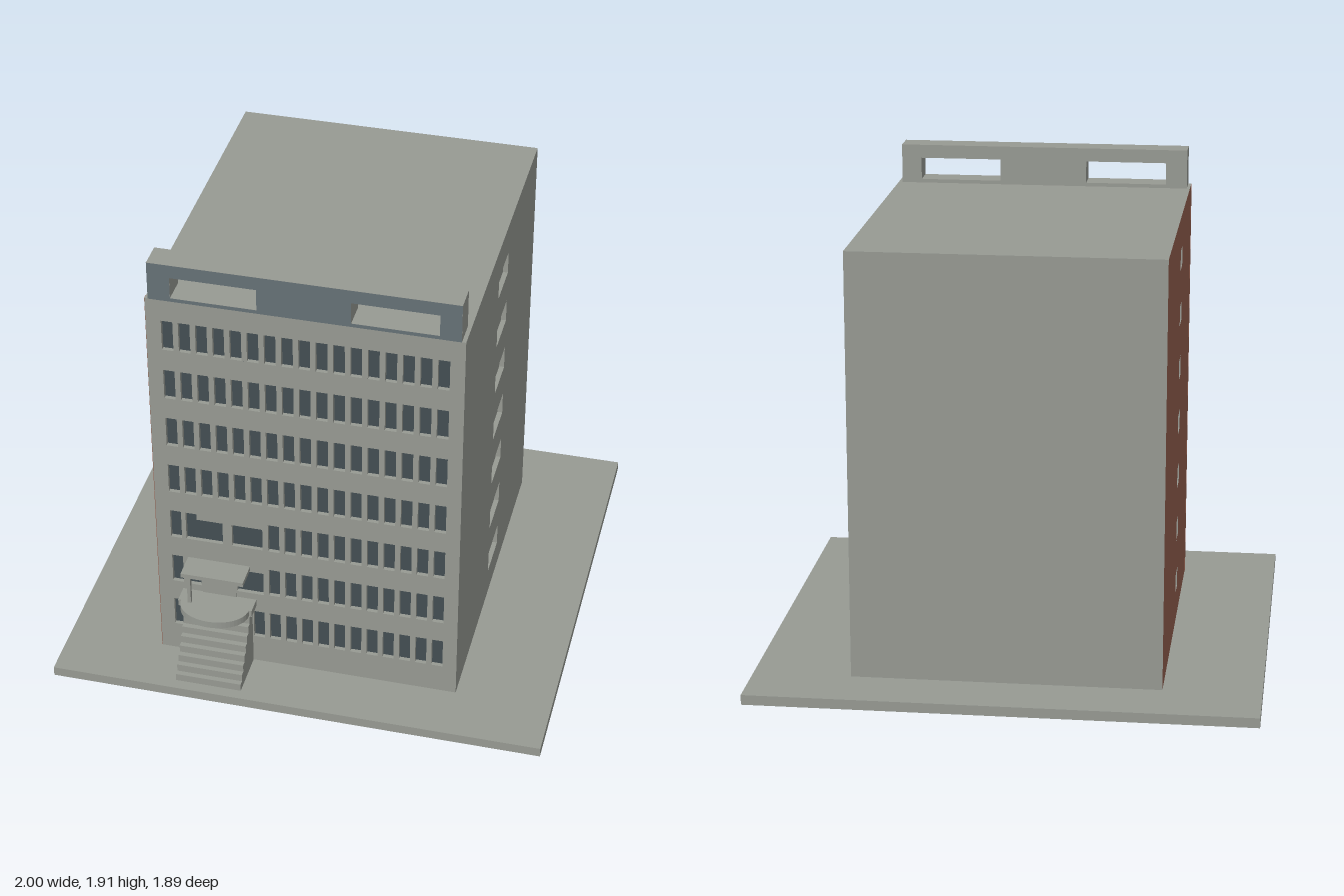
import * as THREE from 'three';

export function createModel() {
  const mat = (name, color) => Object.assign(new THREE.MeshStandardMaterial({ color }), { name });
  const concrete = mat('concrete', 0x979a93);
  const glass = mat('dark glass', 0x434e53);
  const slate = mat('slate', 0x667176);
  const brick = mat('brick', 0x94604f);

  const model = new THREE.Group();
  model.name = 'officeBuilding';

  const add = (name, geometry, material, parent = model) => {
    const mesh = new THREE.Mesh(geometry, material);
    mesh.name = name;
    parent.add(mesh);
    return mesh;
  };
  // Box given by its limits on each axis
  const box = (name, x0, x1, y0, y1, z0, z1, material = concrete, parent = model) => {
    const mesh = add(name, new THREE.BoxGeometry(x1 - x0, y1 - y0, z1 - z0), material, parent);
    mesh.position.set((x0 + x1) / 2, (y0 + y1) / 2, (z0 + z1) / 2);
    return mesh;
  };
  const rect = (x0, x1, y0, y1) => [[x0, y0], [x1, y0], [x1, y1], [x0, y1]];
  const toPoints = (list) => list.map(([x, y]) => new THREE.Vector2(x, y));
  const panelShape = (outline, holes) => {
    const shape = new THREE.Shape(toPoints(outline));
    holes.forEach((h) => shape.holes.push(new THREE.Path(toPoints(h))));
    return shape;
  };
  const extrude = (shape, depth) => new THREE.ExtrudeGeometry(shape, { depth, bevelEnabled: false });

  // Overall limits of the tower and the depth of window reveals
  const L = -0.613, R = 0.611, B = -0.705, F = 0.705, Y0 = 0.04, Y1 = 1.75, D = 0.02;

  // Ground slab and tower core
  box('groundSlab', -1, 1, 0, Y0, -0.945, 0.945);
  box('towerCore', L + D, R - D, Y0, Y1, B, F - D);

  // Front wall: seven floors of narrow openings, with wide ones near the porch
  const openings = [];
  for (let row = 0; row < 7; row++) {
    const y = 0.233 + row * 0.2263;
    for (let col = 0; col < 17; col++) {
      const skip = (row === 0 && col >= 1 && col <= 4) || ((row === 1 || row === 2) && col >= 1 && col <= 5);
      if (skip) continue;
      const x = -0.531 + col * 0.0664;
      openings.push(rect(x - 0.0225, x + 0.0225, y - 0.066, y + 0.066));
    }
  }
  openings.push([[-0.49, 0.62], [-0.34, 0.62], [-0.34, 0.724], [-0.445, 0.724], [-0.445, 0.751], [-0.49, 0.751]]);
  openings.push(rect(-0.302, -0.178, 0.62, 0.724));
  openings.push(rect(-0.49, -0.435, 0.39, 0.505));
  openings.push(rect(-0.287, -0.178, 0.39, 0.5));
  add('frontWall', extrude(panelShape(rect(L, R, Y0, Y1), openings), D), concrete).position.z = F - D;
  box('frontGlass', -0.57, 0.57, 0.15, 1.68, F - D - 0.002, F - D + 0.003, glass);

  // Side walls: one column of recesses each
  const sideWall = (name, z0, z1, half, sign, material) => {
    const holes = [];
    for (let i = 0; i < 7; i++) {
      const y = 0.207 + i * 0.2275;
      const a = -sign * z0, b = -sign * z1;
      holes.push(rect(Math.min(a, b), Math.max(a, b), y - half, y + half));
    }
    // The wall stops behind the front wall
    const ends = sign > 0 ? [-(F - D), -B] : [B, F - D];
    const wall = add(name, extrude(panelShape(rect(ends[0], ends[1], Y0, Y1), holes), D), material);
    wall.rotation.y = sign * Math.PI / 2;
    wall.position.x = sign > 0 ? R - D : L + D;
  };
  sideWall('plainSideWall', -0.12, 0.07, 0.048, 1, concrete);
  sideWall('brickSideWall', 0.04, 0.145, 0.04, -1, [brick, concrete]);
  box('brickCornerFace', L - 0.001, L + 0.001, Y0, Y1, F - D, F, brick);
  box('sideGlass', L + D - 0.003, L + D + 0.002, 0.15, 1.63, 0.03, 0.155, glass);

  // Roof parapet with two long openings and a slate face
  const parapet = panelShape(rect(-0.6, 0.595, Y1, 1.91),
    [rect(-0.513, -0.18, 1.765, 1.855), rect(0.18, 0.513, 1.765, 1.855)]);
  add('roofParapet', extrude(parapet, 0.105), concrete).position.z = 0.6;
  add('parapetFace', new THREE.ShapeGeometry(parapet), slate).position.z = F + 0.001;

  // Entrance: stairs, rounded landing, post and canopy
  const entrance = new THREE.Group();
  entrance.name = 'entrance';
  model.add(entrance);
  const steps = 9, rise = 0.29 / steps, run = 0.195 / steps;
  for (let i = 0; i < steps; i++) {
    box('stairStep', -0.497, -0.227, Y0 + i * rise, Y0 + (i + 1) * rise, F, 0.9 - i * run, concrete, entrance);
  }
  const landing = new THREE.Shape();
  landing.moveTo(-0.513, -F);
  landing.lineTo(-0.513, -0.777);
  landing.lineTo(-0.501, -0.777);
  landing.absellipse(-0.361, -0.777, 0.14, 0.103, Math.PI, 2 * Math.PI, false);
  landing.lineTo(-0.209, -0.777);
  landing.lineTo(-0.209, -F);
  const slab = add('landing', extrude(landing, 0.03), concrete, entrance);
  slab.rotation.x = -Math.PI / 2;
  slab.position.y = 0.33;
  box('canopyPost', -0.471, -0.457, 0.36, 0.51, 0.77, 0.786, concrete, entrance);
  box('canopy', -0.487, -0.232, 0.508, 0.527, F, 0.812, concrete, entrance);
  box('entranceDoor', -0.43, -0.29, 0.36, 0.508, F, F + 0.004, concrete, entrance);

  return model;
}
